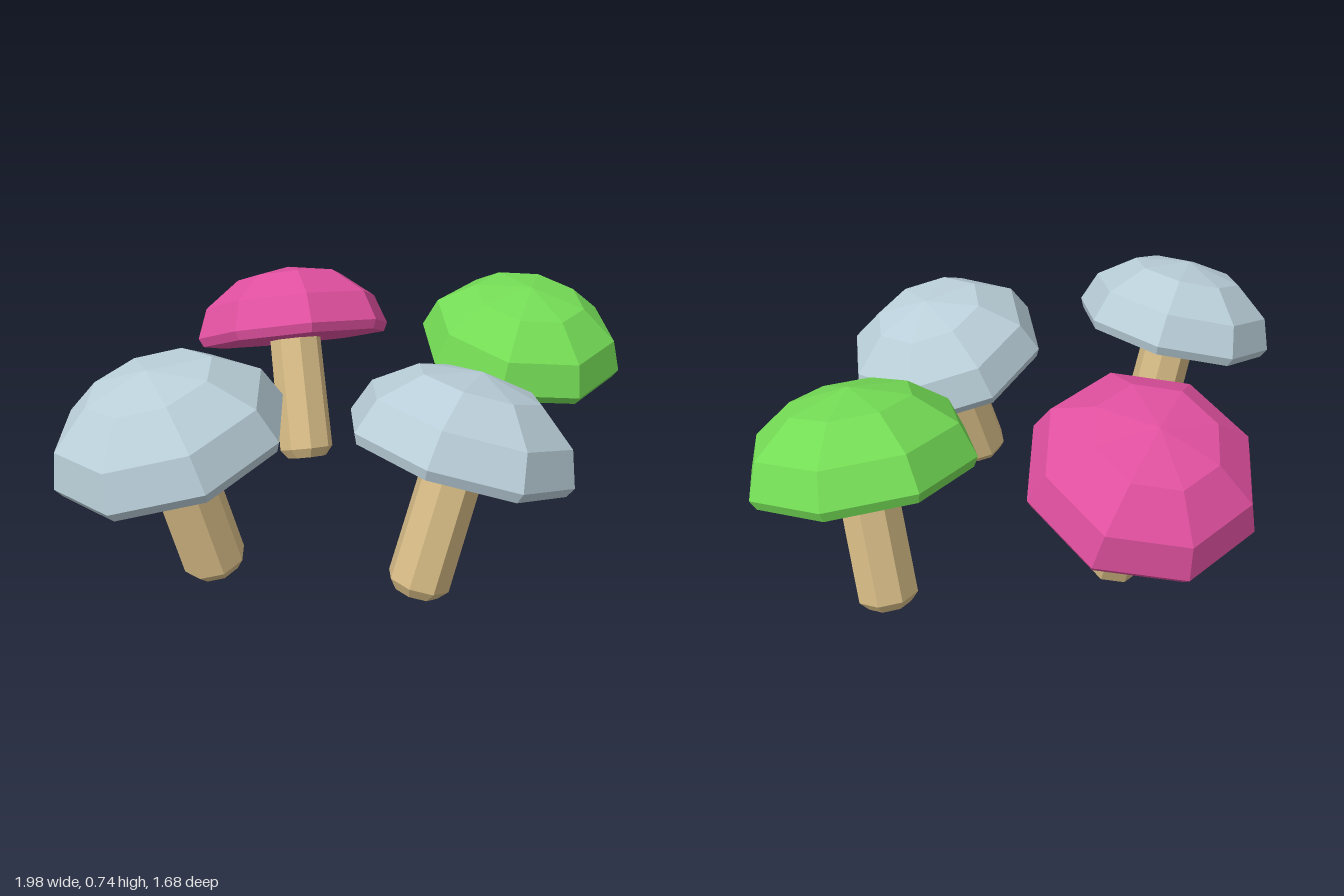
import * as THREE from 'three';

const SIDES = 8;
const UP = new THREE.Vector3(0, 1, 0);

// Faceted solid of revolution from [radius, height] pairs, bottom to top
function turned(name, profile, color) {
  const points = profile.map(([r, y]) => new THREE.Vector2(r, y));
  const material = new THREE.MeshStandardMaterial({ color, flatShading: true });
  const mesh = new THREE.Mesh(new THREE.LatheGeometry(points, SIDES), material);
  mesh.name = name;
  return mesh;
}

// Upright mushroom with the foot of its stem at the origin
function mushroom(name, capColor) {
  const group = new THREE.Group();
  group.name = name;
  group.add(
    // stem with a chamfered foot, ending inside the cap
    turned('stem', [[0, 0], [0.068, 0], [0.094, 0.032], [0.09, 0.44], [0, 0.44]], 0xd6bb85),
    // domed cap with a flat underside and narrow bevelled rim
    turned('cap', [[0, 0.42], [0.325, 0.42], [0.34, 0.45], [0.302, 0.552], [0.182, 0.642], [0, 0.677]], capColor)
  );
  return group;
}

export function createModel() {
  const model = new THREE.Group();
  model.name = 'mushrooms';

  // foot: stem base; lean: sideways drift of the axis per unit of length; turn: degrees about the axis
  const specs = [
    { name: 'leftMushroom', color: 0x74dc55, foot: [0.655, 0.052, -0.12], lean: [0, 0.215], turn: 0 },
    { name: 'rightMushroom', color: 0xb9ced8, foot: [-0.543, 0.06, 0.155], lean: [-0.259, 0], turn: -6 },
    { name: 'frontMushroom', color: 0xb9ced8, foot: [-0.063, 0.02, 0.493], lean: [0.3, 0], turn: -5 },
    { name: 'backMushroom', color: 0xe0509f, foot: [0.018, 0.075, -0.375], lean: [0.09, -0.375], turn: -15 },
  ];

  for (const { name, color, foot, lean: [lx, lz], turn } of specs) {
    const m = mushroom(name, color);
    const axis = new THREE.Vector3(lx, Math.sqrt(1 - lx * lx - lz * lz), lz);
    const spin = new THREE.Quaternion().setFromAxisAngle(UP, THREE.MathUtils.degToRad(turn));
    m.quaternion.setFromUnitVectors(UP, axis).multiply(spin);
    m.position.set(...foot);
    model.add(m);
  }
  return model;
}
